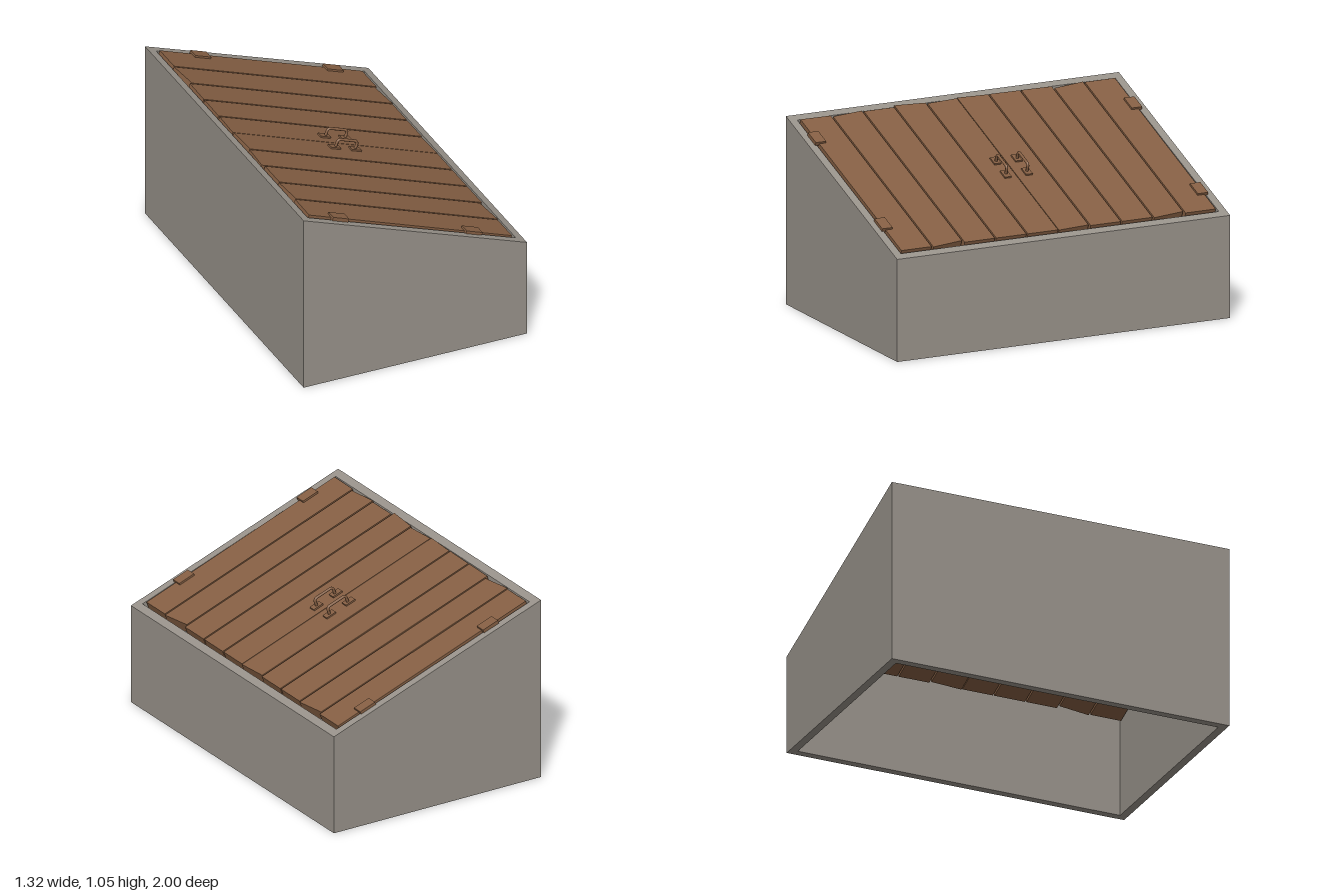
import * as THREE from 'three';

const stone = new THREE.MeshStandardMaterial({ color: 0x98928a });
stone.name = 'stone';
const wood = new THREE.MeshStandardMaterial({ color: 0x855f43 });
wood.name = 'wood';

function add(parent, geometry, material, name, x = 0, y = 0, z = 0) {
  const mesh = new THREE.Mesh(geometry, material);
  mesh.name = name;
  mesh.position.set(x, y, z);
  parent.add(mesh);
  return mesh;
}

const polygon = (pts) => pts.map(([x, y]) => new THREE.Vector2(x, y));
const rect = (x, y) => polygon([[-x, -y], [x, -y], [x, y], [-x, y]]);

// Flat outline in x and z, extruded downwards from y = 0
function slab(outline, hole, depth) {
  const shape = new THREE.Shape(outline);
  if (hole) shape.holes.push(new THREE.Path(hole));
  const g = new THREE.ExtrudeGeometry(shape, { depth, bevelEnabled: false });
  return g.rotateX(Math.PI / 2);
}

// Open surround whose rim slopes down towards +x
function surroundGeometry() {
  const g = slab(rect(0.662, 1), rect(0.617, 0.955), 1);
  const p = g.attributes.position;
  for (let i = 0; i < p.count; i++) {
    p.setY(i, p.getY(i) > -0.5 ? 0.8075 - 0.359 * p.getX(i) : 0);
  }
  g.computeVertexNormals();
  return g;
}

// Bent bar with two rounded corners
function handleGeometry(u0, u1, h, r) {
  const v = (x, y) => new THREE.Vector3(x, y, 0);
  const path = new THREE.CurvePath();
  path.add(new THREE.LineCurve3(v(u0, 0), v(u0, h - r)));
  path.add(new THREE.QuadraticBezierCurve3(v(u0, h - r), v(u0, h), v(u0 + r, h)));
  path.add(new THREE.LineCurve3(v(u0 + r, h), v(u1 - r, h)));
  path.add(new THREE.QuadraticBezierCurve3(v(u1 - r, h), v(u1, h), v(u1, h - r)));
  path.add(new THREE.LineCurve3(v(u1, h - r), v(u1, 0)));
  return new THREE.TubeGeometry(path, 48, 0.008, 10);
}

export function createModel() {
  const model = new THREE.Group();
  model.name = 'cellarHatch';
  add(model, surroundGeometry(), stone, 'surround');

  // Everything on the doors lies in a tilted frame
  const tilt = THREE.MathUtils.degToRad(20);
  const k = 1 / Math.cos(tilt);
  const doors = new THREE.Group();
  doors.name = 'doors';
  doors.position.y = 0.8155;
  doors.rotation.z = -tilt;
  model.add(doors);

  // Planks from back to front: left end x and right end x at the back and front edges
  const ends = [
    [-0.60, -0.60, 0.60, 0.60], [-0.605, -0.583, 0.585, 0.605],
    [-0.60, -0.603, 0.60, 0.60], [-0.602, -0.605, 0.60, 0.60],
    [-0.603, -0.61, 0.592, 0.603], [-0.605, -0.595, 0.60, 0.60],
    [-0.603, -0.615, 0.60, 0.60], [-0.60, -0.60, 0.60, 0.60],
    [-0.607, -0.59, 0.583, 0.605], [-0.60, -0.602, 0.60, 0.60],
  ];
  ends.forEach(([l0, l1, r0, r1], i) => {
    const z0 = i < 5 ? -0.945 + i * 0.19 : 0.002 + (i - 5) * 0.19;
    const z1 = z0 + (i === 4 ? 0.183 : 0.181);
    const outline = polygon([[l0 * k, z0], [r0 * k, z0], [r1 * k, z1], [l1 * k, z1]]);
    add(doors, slab(outline, null, 0.06), wood, 'plank');
  });

  for (const side of [-1, 1]) {
    const doorName = side < 0 ? 'back' : 'front';

    // Battens joining the planks from below
    for (const x of [-0.44, 0.37]) {
      add(doors, new THREE.BoxGeometry(0.14, 0.04, 0.88), wood, doorName + 'Batten',
        x * k, -0.08, side * 0.47);
    }

    // Hinge plates at the outer edge
    const hinges = side < 0 ? [-0.365, 0.42] : [-0.425, 0.365];
    for (const x of hinges) {
      add(doors, new THREE.BoxGeometry(0.1, 0.022, 0.062), wood, doorName + 'Hinge',
        x * k, 0.0, side * 0.934);
    }

    // Pull handle on two foot plates
    const z = side < 0 ? -0.07 : 0.057;
    add(doors, handleGeometry(-0.034, 0.09, 0.051, 0.02), wood, doorName + 'Handle', 0, 0, z);
    for (const u of [-0.04, 0.091]) {
      add(doors, new THREE.BoxGeometry(0.062, 0.012, 0.04), wood, doorName + 'HandlePlate',
        u, 0.003, z);
    }
  }
  return model;
}
